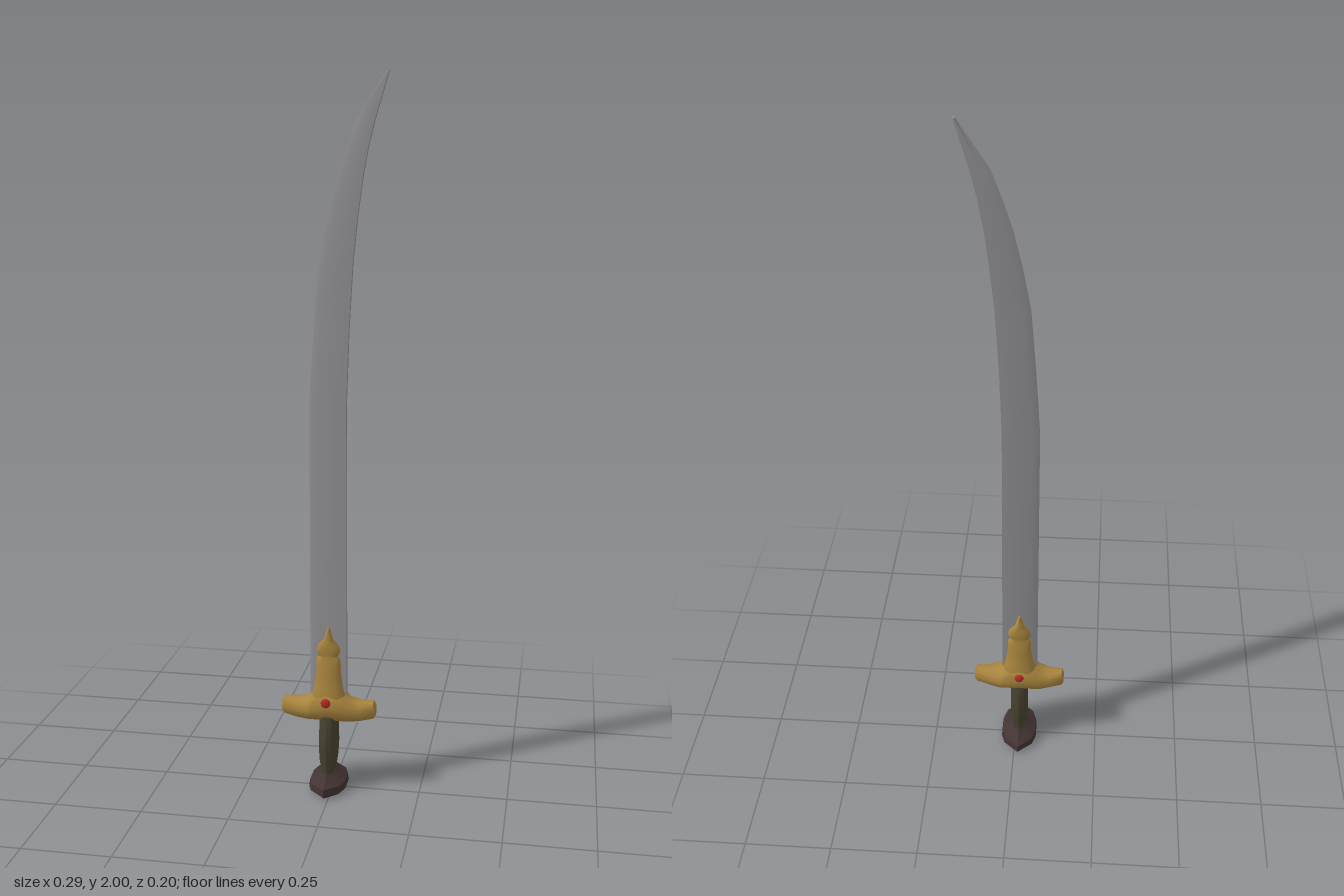
import * as THREE from 'three';
import { toCreasedNormals } from 'three/addons/utils/BufferGeometryUtils.js';

const CX = -0.012; // centre line of the hilt

function material(name, color) {
  const m = new THREE.MeshStandardMaterial({ color });
  m.name = name;
  return m;
}

// Skin a list of rings (equal point counts) and close both ends.
function loft(rings, crease) {
  const n = rings[0].length;
  const pos = rings.flat(2);
  const index = [];
  for (let r = 0; r < rings.length - 1; r++) {
    for (let i = 0; i < n; i++) {
      const j = (i + 1) % n, a = r * n + i, b = r * n + j;
      index.push(a, a + n, b, b, a + n, b + n);
    }
  }
  const last = (rings.length - 1) * n;
  for (let i = 1; i < n - 1; i++) {
    index.push(0, i, i + 1);
    index.push(last, last + i + 1, last + i);
  }
  const g = new THREE.BufferGeometry();
  g.setAttribute('position', new THREE.Float32BufferAttribute(pos, 3));
  g.setIndex(index);
  return toCreasedNormals(g, crease);
}

// Points round a unit outline between a circle and a box.
function outline(n, power) {
  return Array.from({ length: n }, (_, i) => {
    const a = (i / n) * Math.PI * 2;
    const f = (v) => (Math.abs(v) < 1e-6 ? 0 : Math.sign(v) * Math.abs(v) ** power);
    return [f(Math.cos(a)), f(Math.sin(a))];
  });
}

// Stack an outline upwards from [y, half width, half depth] rows.
const stack = (rows, shape, crease) =>
  loft(rows.map(([y, hx, hz]) => shape.map(([c, s]) => [CX + c * hx, y, s * hz])), crease);

export function createModel() {
  const steel = material('steel', 0x8f8f92);
  const gold = material('gold', 0xa8843e);
  const leather = material('olive leather', 0x47422f);
  const darkWood = material('dark wood', 0x433333);
  const ruby = material('ruby', 0xb52a24);

  const model = new THREE.Group();
  model.name = 'curvedSword';
  const add = (name, geometry, mat) => {
    const mesh = new THREE.Mesh(geometry, mat);
    mesh.name = name;
    model.add(mesh);
    return mesh;
  };

  // Blade: sharp edge on -x, flat spine on +x; rows are [y, edge x, spine x]
  const t = 0.007;
  const bladeRows = [
    [0.28, -0.066, 0.04], [0.7, -0.066, 0.038], [1.13, -0.066, 0.037],
    [1.32, -0.054, 0.043], [1.5, -0.04, 0.053], [1.62, -0.018, 0.065],
    [1.72, 0.006, 0.078], [1.8, 0.032, 0.092], [1.875, 0.06, 0.11], [2, 0.141, 0.147],
  ];
  add('blade', loft(bladeRows.map(([y, l, r]) => {
    const b = l + Math.min(0.018, (r - l) * 0.5);
    return [[r, y, t], [b, y, t], [l, y, 0], [b, y, -t], [r, y, -t]];
  }), 0.7), steel);

  // Crossguard: sections along x, mirrored; rows are [x, top, bottom, half depth]
  const half = [
    [0.135, 0.258, 0.228, 0.015], [0.129, 0.27, 0.218, 0.02],
    [0.09, 0.268, 0.211, 0.032], [0.06, 0.274, 0.209, 0.043],
    [0.045, 0.29, 0.209, 0.047],
  ];
  const guardRows = [
    ...half.map(([x, ...rest]) => [-x, ...rest]),
    [0, 0.31, 0.208, 0.05],
    ...half.slice().reverse(),
  ];
  const round = outline(12, 0.8);
  add('crossguard', loft(guardRows.map(([x, top, bottom, hz]) =>
    round.map(([c, s]) => [CX + x, (top + bottom) / 2 + c * (top - bottom) / 2, -s * hz])), 0.8), gold);

  // Collar that rises over the blade and ends in a finial
  add('bladeCollar', stack([
    [0.24, 0.054, 0.046], [0.285, 0.05, 0.043], [0.31, 0.042, 0.037],
    [0.35, 0.037, 0.031], [0.39, 0.036, 0.028], [0.402, 0.028, 0.025],
    [0.415, 0.036, 0.027], [0.433, 0.031, 0.026], [0.452, 0.013, 0.025],
    [0.478, 0.006, 0.024], [0.486, 0.003, 0.017],
  ], outline(12, 0.75), 0.7), gold);

  // Gems on both faces of the guard
  for (const side of [1, -1]) {
    const gem = add(side > 0 ? 'frontGem' : 'backGem', new THREE.SphereGeometry(0.014, 12, 8), ruby);
    gem.scale.z = 0.5;
    gem.position.set(CX - 0.002, 0.272, side * 0.047);
  }

  // Grip: flat oval, swelling towards the guard
  add('grip', stack([
    [0.035, 0.02, 0.044], [0.065, 0.021, 0.046], [0.09, 0.025, 0.05],
    [0.13, 0.027, 0.056], [0.17, 0.027, 0.055], [0.2, 0.025, 0.05], [0.23, 0.025, 0.045],
  ], outline(12, 0.8), 0.7), leather);

  // Pommel: long plate pointed towards front and back
  const pointed = [
    [1, 0], [1, 0.3], [0.8, 0.62], [0, 1], [-0.8, 0.62], [-1, 0.3],
    [-1, 0], [-1, -0.3], [-0.8, -0.62], [0, -1], [0.8, -0.62], [1, -0.3],
  ];
  add('pommel', stack([
    [0, 0.042, 0.085], [0.01, 0.053, 0.099], [0.03, 0.05, 0.097],
    [0.043, 0.032, 0.066], [0.056, 0.021, 0.047],
  ], pointed, 0.6), darkWood);

  return model;
}
